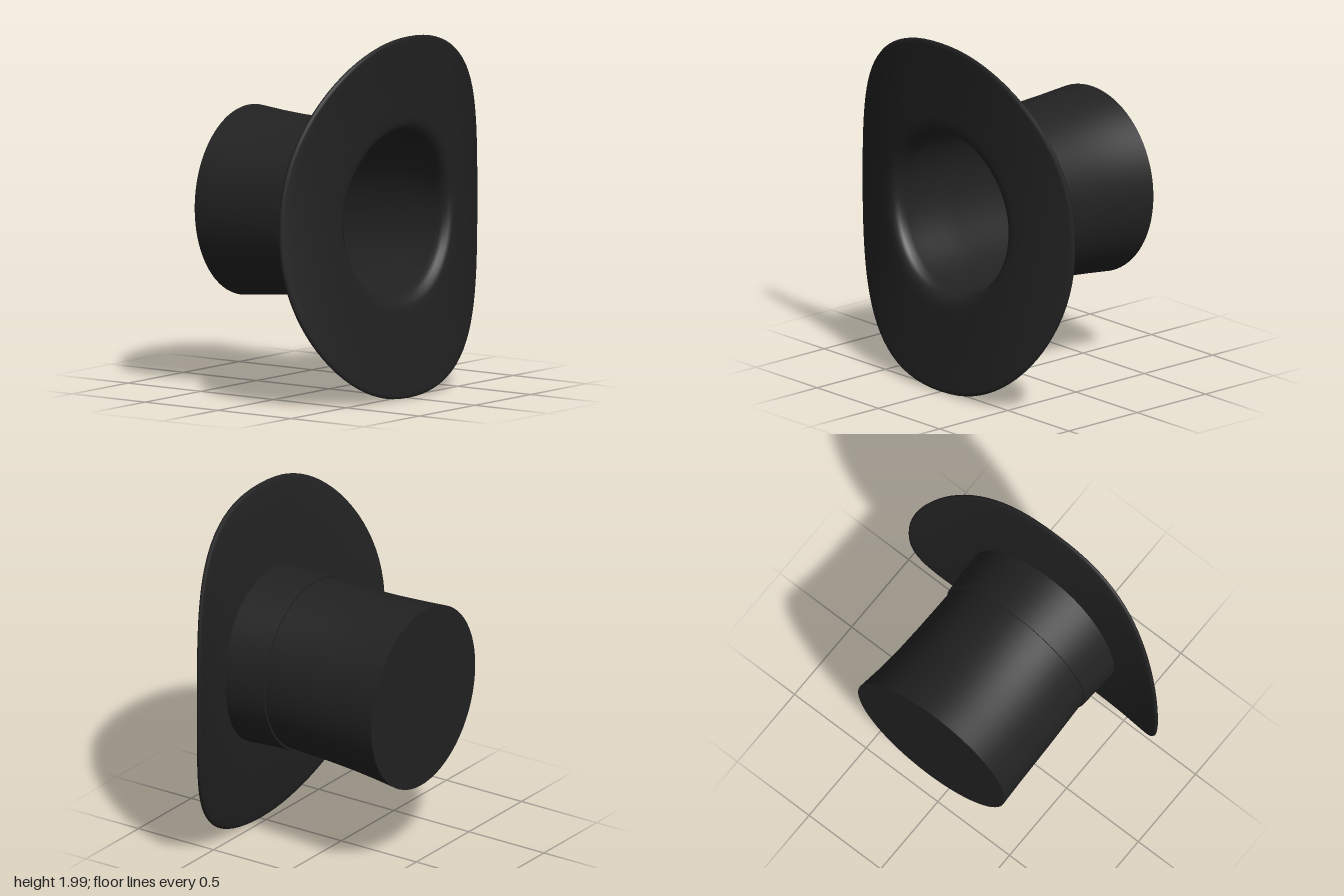
import * as THREE from 'three';

const SEGMENTS = 96;

// Crown cross-sections: [z, centre x, centre y, radius x, radius y]
const CROWN = [
  [0.47, -0.003, 1.005, 0.485, 0.49],
  [0.30, -0.004, 1.01, 0.476, 0.484],
  [0.18, -0.005, 1.012, 0.47, 0.482],
  [0.05, -0.006, 1.008, 0.474, 0.484],
  [-0.10, -0.007, 1.004, 0.479, 0.488],
  [-0.25, -0.006, 1.001, 0.484, 0.496],
  [-0.40, -0.002, 0.999, 0.492, 0.508],
  [-0.55, 0.005, 0.998, 0.505, 0.522],
];

// Joins rings of points into a smooth skin; rings run anticlockwise seen from +z
function loft(rings) {
  const positions = [], index = [];
  rings.forEach((ring) => ring.forEach((p) => positions.push(...p)));
  for (let i = 0; i < rings.length - 1; i++) {
    for (let j = 0; j < SEGMENTS; j++) {
      const k = (j + 1) % SEGMENTS;
      const a = i * SEGMENTS + j, b = i * SEGMENTS + k;
      const c = a + SEGMENTS, d = b + SEGMENTS;
      index.push(a, c, b, b, c, d);
    }
  }
  const geometry = new THREE.BufferGeometry();
  geometry.setAttribute('position', new THREE.Float32BufferAttribute(positions, 3));
  geometry.setIndex(index);
  geometry.computeVertexNormals();
  return geometry;
}

function ringOf(pointAt) {
  return Array.from({ length: SEGMENTS }, (_, j) => pointAt((j / SEGMENTS) * Math.PI * 2));
}

// One crown ring, grown or shrunk by offset; the far end is slightly tilted
function crownRing([z, cx, cy, rx, ry], offset = 0, scale = 1) {
  const tilt = 0.016 * THREE.MathUtils.clamp((0.2 - z) / 0.75, 0, 1);
  return ringOf((a) => {
    const x = cx + (rx + offset) * scale * Math.cos(a);
    const y = cy + (ry + offset) * scale * Math.sin(a);
    return [x, y, z - tilt * (x + y - 1)];
  });
}

// Saddle-shaped brim: sides roll back, the two ends dip forward
function brimHeight(x, y) {
  return 0.505 + 0.05 * (y - 1) ** 2 - 0.24 * Math.abs(x - 0.015) ** 3;
}

// One brim ring: t = 0 at the opening, t = 1 at the rounded-oval rim
function brimRing(t, dz) {
  const power = 2 / 2.2;
  return ringOf((a) => {
    const c = Math.cos(a), s = Math.sin(a);
    const rimX = 0.873 * Math.sign(c) * Math.abs(c) ** power;
    const rimY = 0.997 * Math.sign(s) * Math.abs(s) ** power;
    const x = THREE.MathUtils.lerp(0.452 * c - 0.003, rimX, t);
    const y = THREE.MathUtils.lerp(0.455 * s + 0.005, rimY, t) + 1;
    return [x, y, brimHeight(x, y) + dz];
  });
}

// Flat disc closing a crown ring, as a fan towards its centre
function disc(section, offset, facesFront) {
  const rings = [crownRing(section, offset, 0), crownRing(section, offset, 1)];
  return loft(facesFront ? rings : rings.reverse());
}

export function createModel() {
  const hat = new THREE.Group();
  hat.name = 'topHat';
  const felt = new THREE.MeshStandardMaterial({ color: 0x222222 });
  felt.name = 'black felt';

  const add = (name, geometry) => {
    const mesh = new THREE.Mesh(geometry, felt);
    mesh.name = name;
    hat.add(mesh);
  };

  // Crown wall and its flat top
  const end = CROWN[CROWN.length - 1];
  add('crown', loft(CROWN.map((s) => crownRing(s))));
  add('crownTop', disc(end, 0, false));

  // Band around the base of the crown, with a small step at its edge
  const band = CROWN.slice(0, 3);
  add('band', loft(band.map((s) => crownRing(s, 0.011))));
  add('bandEdge', loft([crownRing(band[2], 0.011), crownRing(band[2], -0.002)]));

  // Hollow inside
  const floor = [-0.52, ...end.slice(1)];
  const inner = [floor, ...CROWN.slice(1, -1).reverse()];
  add('liningFloor', disc(floor, -0.018, true));

  // Lining wall flowing over the lip into the brim, around the rim and back
  const brimProfile = [
    [0, -0.09], [0.004, -0.06], [0.02, -0.035], [0.05, -0.015], [0.1, -0.004],
    [0.17, 0], [0.3, 0], [0.45, 0], [0.6, 0], [0.75, 0], [0.88, 0], [0.96, 0],
    [0.99, -0.003], [1, -0.012], [0.99, -0.021], [0.96, -0.026], [0.88, -0.031],
    [0.75, -0.036], [0.6, -0.04], [0.45, -0.044], [0.3, -0.047], [0.17, -0.05], [0.05, -0.052],
  ];
  add('liningAndBrim', loft([
    ...inner.map((s) => crownRing(s, -0.018)),
    ...brimProfile.map(([t, dz]) => brimRing(t, dz)),
  ]));

  return hat;
}
